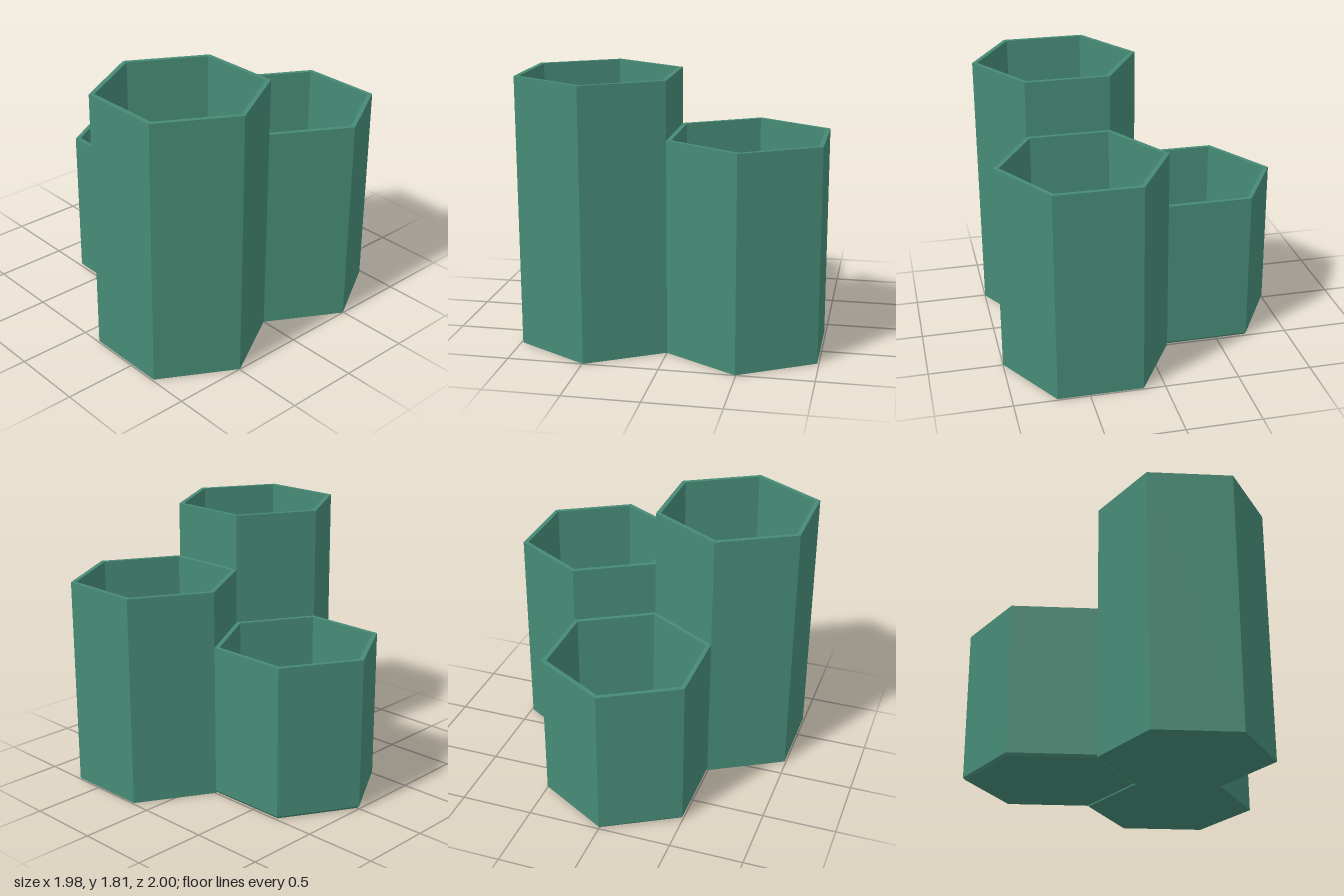
import * as THREE from 'three';

const R = 0.571;                          // outer corner radius
const APOTHEM = R * Math.cos(Math.PI / 6);
const WALL = 0.03;                        // wall and floor thickness
const INNER_R = (APOTHEM - WALL) / Math.cos(Math.PI / 6);

// Open hexagonal cup with crisp facets and an optional bevel under the base
function cupGeometry(height, bevel) {
  const profile = [[0, 0], [R - bevel, 0]];
  if (bevel > 0) profile.push([R, bevel]);
  else profile[1] = [R, 0];
  profile.push([R, height], [INNER_R, height], [INNER_R, WALL], [0, WALL]);
  const points = profile.map(([r, y]) => new THREE.Vector2(r, y));
  const geometry = new THREE.LatheGeometry(points, 6).toNonIndexed();
  geometry.computeVertexNormals();
  return geometry;
}

export function createModel() {
  const group = new THREE.Group();
  group.name = 'hexagonalOrganizer';
  const green = new THREE.MeshStandardMaterial({ color: 0x468a75 });
  green.name = 'sea green';

  // Three cups in a honeycomb cluster, stepping down in height
  const cups = [
    { name: 'tallCup', x: -APOTHEM, z: R * 0.75, height: 1.81, bevel: 0 },
    { name: 'mediumCup', x: APOTHEM, z: R * 0.75, height: 1.43, bevel: 0 },
    { name: 'shortCup', x: 0, z: -R * 0.75, height: 1.05, bevel: 0.018 },
  ];
  for (const { name, x, z, height, bevel } of cups) {
    const cup = new THREE.Mesh(cupGeometry(height, bevel), green);
    cup.name = name;
    cup.position.set(x, 0, z);
    group.add(cup);
  }
  return group;
}
